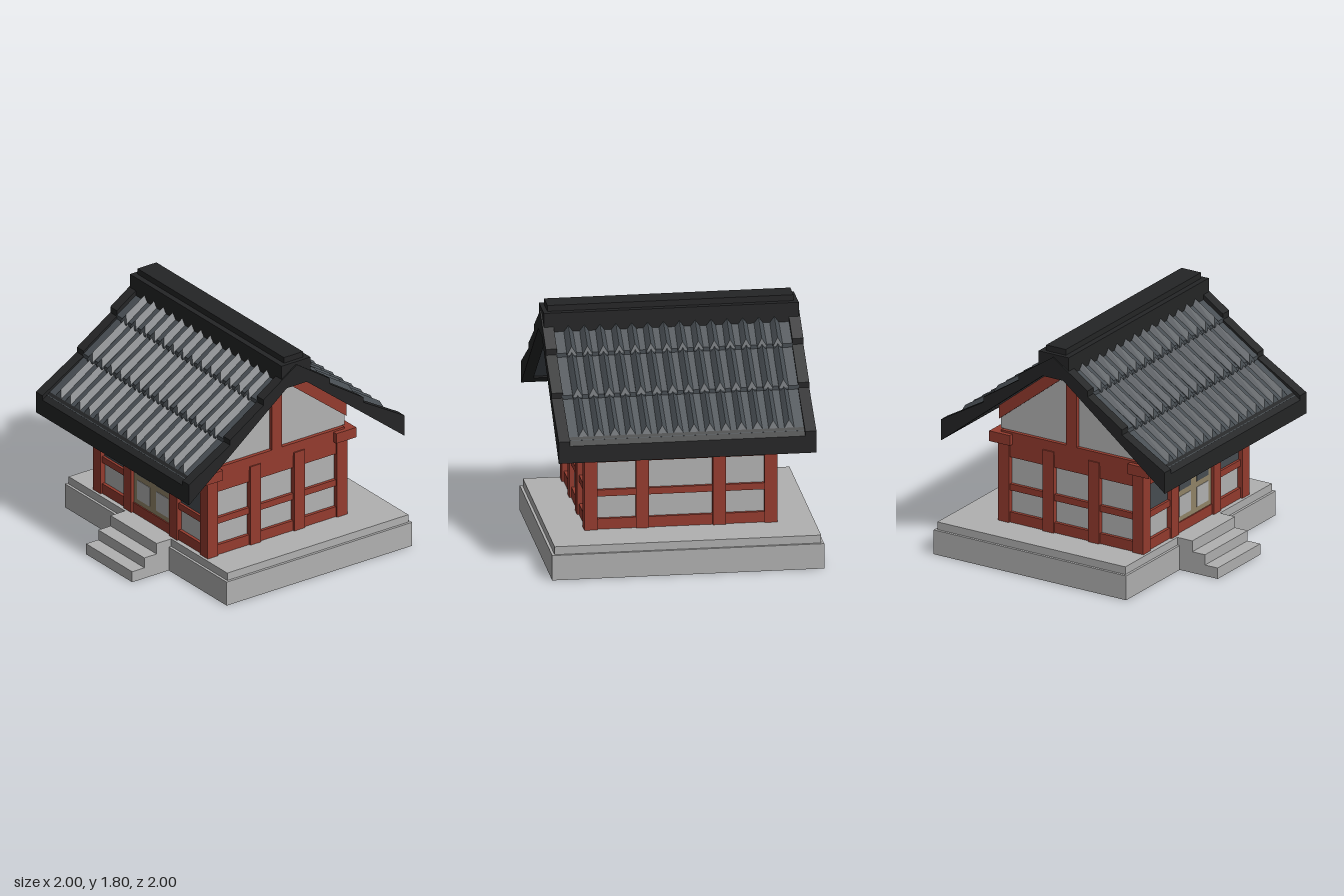
import * as THREE from 'three';
import { ConvexGeometry } from 'three/addons/geometries/ConvexGeometry.js';

const mat = (name, color) => {
  const m = new THREE.MeshStandardMaterial({ color });
  m.name = name;
  return m;
};

export function createModel() {
  const model = new THREE.Group();
  model.name = 'tiledHall';
  const stone = mat('stone', 0xb0b0b0);
  const plaster = mat('plaster', 0xb2b2b2);
  const red = mat('redTimber', 0x943b2e);
  const black = mat('blackTrim', 0x242526);
  const slate = mat('slate', 0x474d52);
  const beige = mat('doorWood', 0x928468);

  const add = (name, geo, material, parent = model) => {
    const mesh = new THREE.Mesh(geo, material);
    mesh.name = name;
    parent.add(mesh);
    return mesh;
  };
  // box given by its limits on each axis
  const box = (name, material, x0, x1, y0, y1, z0, z1, parent) => {
    const g = new THREE.BoxGeometry(x1 - x0, y1 - y0, z1 - z0);
    g.translate((x0 + x1) / 2, (y0 + y1) / 2, (z0 + z1) / 2);
    return add(name, g, material, parent);
  };
  // (z, y) profile extruded along x from x0 to x1
  const prism = (name, material, pts, x0, x1, parent) => {
    const shape = new THREE.Shape(pts.map(p => new THREE.Vector2(p[0], p[1])));
    const g = new THREE.ExtrudeGeometry(shape, { depth: x1 - x0, bevelEnabled: false });
    g.rotateY(-Math.PI / 2);
    g.translate(x1, 0, 0);
    return add(name, g, material, parent);
  };
  // half profile completed by its mirror image in z
  const mirrorZ = half => [...half, ...half.filter(p => p[0] > 0).reverse().map(([z, y]) => [-z, y])];

  // stone platform and steps
  box('platformBase', stone, -1, 1, 0, 0.19, -1, 0.67);
  box('platformTop', stone, -0.98, 0.98, 0.19, 0.25, -0.98, 0.65);
  prism('steps', stone, [[0.645, 0], [1, 0], [1, 0.085], [0.89, 0.085], [0.89, 0.165],
    [0.78, 0.165], [0.78, 0.25], [0.645, 0.25]], -0.285, 0.285);

  // plaster walls and gable
  box('walls', plaster, -0.67, 0.67, 0.25, 0.96, -0.59, 0.59);
  prism('gableWall', plaster, mirrorZ([[0.63, 0.96], [0.63, 1.13], [0.09, 1.57]]), -0.67, 0.67);

  // front and back timber framing
  for (const s of [1, -1]) {
    const wall = new THREE.Group();
    wall.name = s > 0 ? 'frontFrame' : 'backFrame';
    if (s < 0) wall.rotation.y = Math.PI;
    model.add(wall);
    for (const m of [1, -1]) {
      const a = 0.6625 * m, b = 0.2825 * m;
      box('cornerPost', red, a - 0.0475, a + 0.0475, 0.25, 0.9, 0.535, 0.63, wall);
      box('wallPost', red, b - 0.0475, b + 0.0475, 0.25, 0.885, 0.56, 0.63, wall);
      box('cornerBracket', red, m * 0.6625 - 0.0725, m * 0.6625 + 0.0725, 0.865, 0.945, 0.51, 0.69, wall);
      if (s > 0) {
        const c = 0.4725 * m;
        box('window', slate, c - 0.1425, c + 0.1425, 0.55, 0.76, 0.588, 0.595, wall);
        box('middleRail', red, c - 0.15, c + 0.15, 0.5, 0.55, 0.57, 0.615, wall);
      }
    }
    if (s < 0) box('middleRail', red, -0.64, 0.64, 0.5, 0.55, 0.57, 0.615, wall);
    box('sill', red, -0.64, 0.64, 0.25, 0.33, 0.57, 0.615, wall);
    box('lintel', red, -0.64, 0.64, 0.76, 0.87, 0.57, 0.615, wall);
    box('topBeam', red, -0.7, 0.7, 0.86, 0.96, 0.57, 0.61, wall);
    for (let i = 0; i < 8; i++) {
      const x = -0.49 + i * 0.14;
      box('rafterEnd', red, x - 0.03, x + 0.03, 0.872, 0.935, 0.6, 0.69, wall);
    }
  }

  // double door
  for (const m of [1, -1]) {
    const c = 0.117 * m;
    box('doorLeaf', beige, c - 0.115, c + 0.115, 0.33, 0.76, 0.58, 0.605);
    box('doorGlass', slate, c - 0.077, c + 0.077, 0.57, 0.715, 0.602, 0.608);
    box('doorPanel', plaster, c - 0.077, c + 0.077, 0.37, 0.525, 0.602, 0.608);
  }

  // side timber framing and gable trim
  for (const s of [1, -1]) {
    const side = new THREE.Group();
    side.name = s > 0 ? 'leftFrame' : 'rightFrame';
    if (s < 0) side.rotation.y = Math.PI;
    model.add(side);
    for (const z of [0.1975, -0.1975])
      box('sidePost', red, 0.64, 0.71, 0.25, 0.885, z - 0.0475, z + 0.0475, side);
    for (const [name, y0, y1] of [['sideSill', 0.25, 0.33], ['sideMiddleRail', 0.5, 0.55], ['sideLintel', 0.76, 0.87]])
      box(name, red, 0.65, 0.695, y0, y1, -0.56, 0.56, side);
    box('sideTopBeam', red, 0.65, 0.7, 0.86, 0.96, -0.61, 0.61, side);
    box('gablePost', red, 0.65, 0.7, 0.95, 1.575, -0.045, 0.045, side);
    for (const m of [1, -1])
      prism('gableRafter', red, [[0.63, 1.04], [0.63, 1.145], [0.09, 1.575], [0, 1.575], [0, 1.535]]
        .map(([z, y]) => [z * m, y]), 0.65, 0.695, side);
  }

  // tiled roof slab between stepped verge boards
  const slab = mirrorZ([[0.93, 0.925], [0.93, 1.04], [0.6, 1.25], [0.6, 1.28],
    [0.3, 1.475], [0.3, 1.505], [0, 1.70]]);
  slab.push([-0.09, 1.585], [0.09, 1.585]);
  prism('roofSlab', slate, slab, -0.87, 0.87);
  const verge = mirrorZ([[0.97, 0.88], [0.97, 1.045], [0.6, 1.26], [0.6, 1.3],
    [0.3, 1.495], [0.3, 1.54], [0, 1.74]]);
  verge.push([-0.09, 1.575], [0.09, 1.575]);
  prism('vergeBoard', black, verge, 0.865, 0.947);
  prism('vergeBoard', black, verge, -0.947, -0.865);

  // one rib of cover tiles, running from its low end up the slope
  const rib = (zLow, yLow, zHigh, yHigh) => {
    const w = 0.036, h = 0.048;
    const p = [];
    for (const x of [-w, w])
      p.push([x, yLow, zLow], [x, yHigh, zHigh], [x, yLow - 0.015, zLow], [x, yHigh - 0.015, zHigh]);
    p.push([0, yLow + h + 0.01, zLow - 0.022], [0, yHigh + h, zHigh]);
    return new ConvexGeometry(p.map(q => new THREE.Vector3(...q)));
  };
  const courses = [
    rib(0.905, 1.056, 0.6, 1.245),
    rib(0.622, 1.272, 0.3, 1.472),
    rib(0.318, 1.495, 0.12, 1.618)
  ];
  for (const s of [1, -1]) {
    const slope = new THREE.Group();
    slope.name = s > 0 ? 'frontRoofSlope' : 'backRoofSlope';
    if (s < 0) slope.rotation.y = Math.PI;
    model.add(slope);
    // eave board
    prism('eaveBoard', black, [[0.97, 0.88], [0.97, 1.01], [0.905, 1.058], [0.905, 0.931]], -0.87, 0.87, slope);
    for (const g of courses)
      for (let i = 0; i < 14; i++)
        add('tileRib', g, slate, slope).position.x = (i - 6.5) * 0.1165;
  }

  // ridge
  box('ridgeBase', black, -0.937, 0.937, 1.6, 1.76, -0.13, 0.13);
  box('ridgeCap', black, -0.905, 0.905, 1.76, 1.805, -0.085, 0.085);

  return model;
}
